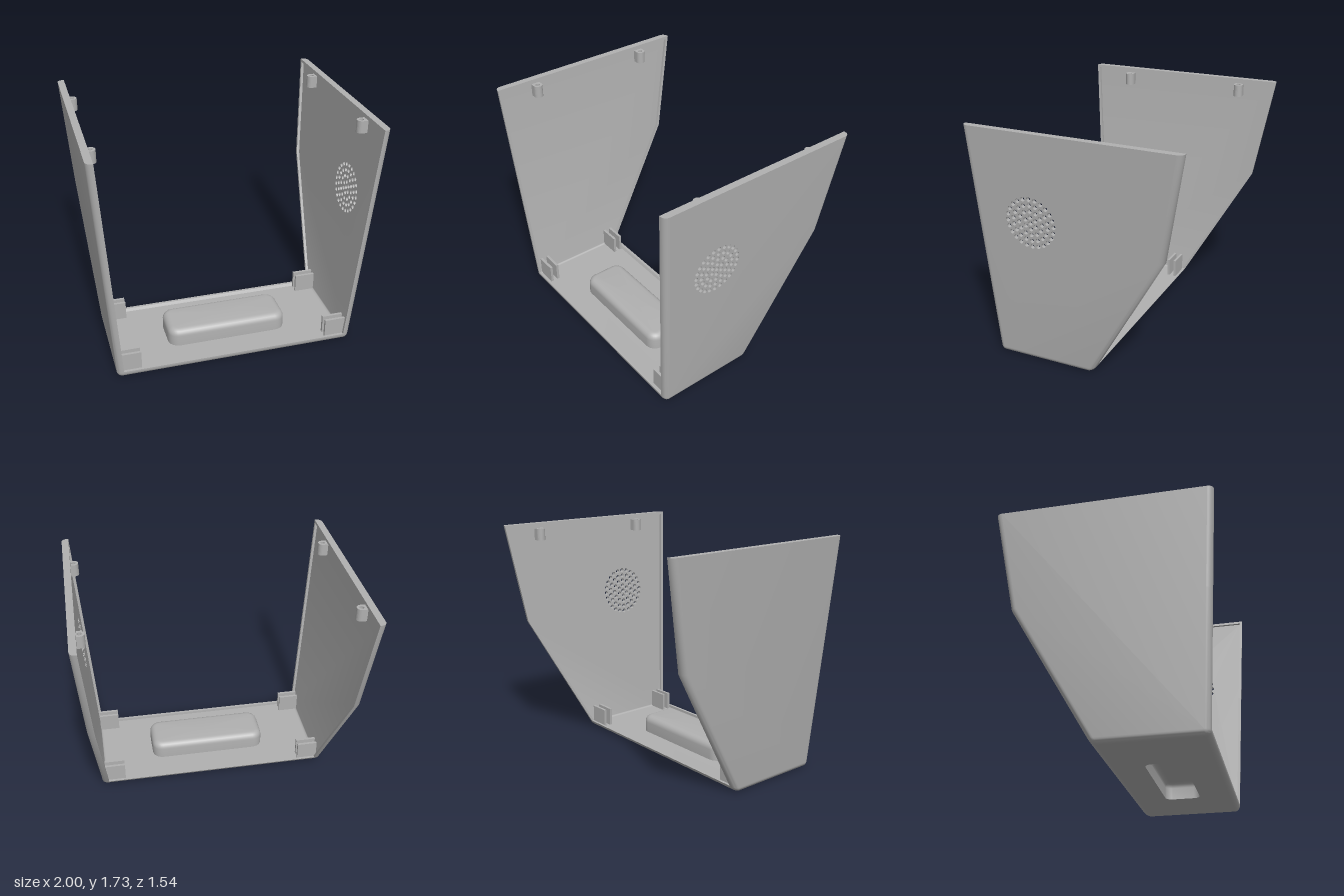
import * as THREE from 'three';
import { mergeGeometries, toCreasedNormals } from 'three/addons/utils/BufferGeometryUtils.js';

const FILLET = 0.04, RIM = 0.02, RECESS = 0.6, TOP = 1.73;

// Outline rules: outer wall x, front edge z and back edge z at a given height
const wallX = y => 0.879 + 0.07 * y;
const frontZ = y => 0.668 + 0.059 * y;
const backZ = y => (y < 0.98 ? -0.077 - 0.569 * y : -0.635 - 0.18 * (y - 0.98));

function fromPositions(list) {
  const g = new THREE.BufferGeometry();
  g.setAttribute('position', new THREE.Float32BufferAttribute(list, 3));
  return g;
}

// Skin a row of closed rings; skip(s, j) leaves a quad open
function loft(rings, skip = () => false) {
  const out = [];
  for (let s = 0; s < rings.length - 1; s++) {
    const n = rings[s].length;
    for (let j = 0; j < n; j++) {
      if (skip(s, j)) continue;
      const k = (j + 1) % n;
      const a = rings[s][j], b = rings[s][k], c = rings[s + 1][j], d = rings[s + 1][k];
      out.push(...a, ...b, ...c, ...b, ...d, ...c);
    }
  }
  return fromPositions(out);
}

// Flat face from a 2D outline with holes, placed in space by a rule
function face(points, holes, map, flip) {
  const shape = new THREE.Shape(points);
  shape.holes = holes.map(h => new THREE.Path(h));
  const g = new THREE.ShapeGeometry(shape).toNonIndexed();
  const p = g.attributes.position, out = [];
  for (let t = 0; t < p.count; t += 3) {
    for (const k of flip ? [0, 2, 1] : [0, 1, 2]) out.push(...map(p.getX(t + k), p.getY(t + k)));
  }
  return fromPositions(out);
}

const v2 = (x, y) => new THREE.Vector2(x, y);

// Rounded rectangle in (x, z), centred on the floor bulge
function roundedRect(hx, hz, r) {
  const pts = [];
  for (let q = 0; q < 4; q++) {
    const sx = q === 0 || q === 3 ? 1 : -1, sz = q < 2 ? 1 : -1;
    for (let i = 0; i <= 6; i++) {
      const a = (q + i / 6) * Math.PI / 2;
      pts.push(v2(sx * (hx - r) + r * Math.cos(a), 0.2925 + sz * (hz - r) + r * Math.sin(a)));
    }
  }
  return pts;
}

// Speaker grille: rings of 1, 6, 12, 18 and 24 round holes, in (z, y)
function grilleHoles() {
  const holes = [];
  for (let ring = 0; ring <= 4; ring++) {
    const n = ring ? ring * 6 : 1;
    for (let i = 0; i < n; i++) {
      const a = Math.PI / 2 + i / n * Math.PI * 2;
      const cz = 0.31 + ring * 0.0432 * Math.cos(a), cy = 1.1 + ring * 0.0432 * Math.sin(a);
      holes.push(Array.from({ length: 12 }, (_, k) => {
        const b = k / 12 * Math.PI * 2;
        return v2(cz + 0.016 * Math.cos(b), cy + 0.016 * Math.sin(b));
      }));
    }
  }
  return holes;
}

function shellGeometry(bulgeOuter, bulgeInner) {
  // Stations down the +x wall and round the corner: outer point, inner point, recessed or not
  const half = [[TOP, 0], [TOP - RIM, 0], [TOP - RIM, 1], [0.98, 1]].map(([y, r]) =>
    ({ o: [wallX(y), y], i: [wallX(y) - 0.05, y], r }));
  const cornerX = wallX(FILLET) - FILLET, innerCorner = [wallX(0.05) - 0.05, 0.05];
  for (let k = 0; k <= 6; k++) {
    const a = k / 6 * Math.PI / 2;
    half.push({ o: [cornerX + FILLET * Math.cos(a), FILLET * (1 - Math.sin(a))], i: innerCorner, r: 1 });
  }
  const n = half.length;
  const flipX = ([x, y]) => [-x, y];
  const stations = [...half, ...half.slice().reverse().map(s => ({ o: flipX(s.o), i: flipX(s.i), r: s.r }))];

  // Edge section: rounded outside, raised rim inside, as [inset, depth]
  const rings = stations.map(({ o, i, r }) => {
    const profile = [];
    for (let k = 0; k <= 6; k++) {
      const a = k / 6 * Math.PI / 2;
      profile.push([FILLET * (1 - Math.sin(a)), 0.8 * (1 - Math.cos(a))]);
    }
    profile.push([0, 1], [RIM, 1], [RIM, r ? RECESS : 1]);
    const point = (inset, d, front) => {
      const y = o[1] + (i[1] - o[1]) * d;
      return [o[0] + (i[0] - o[0]) * d, y, front ? frontZ(y) - inset : backZ(y) + inset];
    };
    return [...profile.map(p => point(...p, true)), ...profile.reverse().map(p => point(...p, false))];
  });
  const count = rings[0].length;
  const parts = [loft(rings, (s, j) => {
    const m = Math.min(s, 2 * n - 2 - s);
    if (j === count - 1) return m < 4 || m === n - 1;
    if (j === count / 2 - 1) return m === 2 || m === 3 || m === n - 1;
    return false;
  })];

  // Top ends of both walls
  const caps = [], first = rings[0], last = rings[rings.length - 1];
  for (let j = 1; j < count - 1; j++) {
    caps.push(...first[0], ...first[j + 1], ...first[j], ...last[0], ...last[j], ...last[j + 1]);
  }
  parts.push(fromPositions(caps));

  // Wall faces, with the grille through the +x wall
  const outline = (low, high, inset) => [
    ...[low, high].map(y => v2(frontZ(y) - inset, y)),
    ...[high, 0.98, low].map(y => v2(backZ(y) + inset, y))];
  const holes = grilleHoles();
  const lowInner = FILLET + (0.05 - FILLET) * RECESS;
  for (const side of [1, -1]) {
    const cut = side > 0 ? holes : [];
    parts.push(face(outline(FILLET, TOP, FILLET), cut, (z, y) => [side * wallX(y), y, z], side > 0));
    parts.push(face(outline(lowInner, TOP - RIM, RIM), cut, (z, y) => [side * (wallX(y) - 0.03), y, z], side < 0));
  }
  for (const h of holes) {
    parts.push(loft([0.03, 0].map(d => h.map(p => [wallX(p.y) - d, p.y, p.x]))));
  }

  // Floor faces, open where the bulge rises
  const floor = (x, y, inset, hole, flip) => {
    const f = frontZ(y) - inset, b = backZ(y) + inset;
    return face([v2(-x, b), v2(x, b), v2(x, f), v2(-x, f)], [hole], (u, w) => [u, y, w], flip);
  };
  parts.push(floor(cornerX, 0, FILLET, bulgeInner, false));
  parts.push(floor(cornerX + (innerCorner[0] - cornerX) * RECESS, 0.03, RIM, bulgeOuter, true));
  return toCreasedNormals(mergeGeometries(parts), 0.6);
}

// Hollow raised bulge: cavity from below, rounded cover above
function bulgeGeometry() {
  const layers = (hx, hz, r, base, top, round) => {
    const ring = (d, y) => roundedRect(hx - d, hz - d, r - d).map(p => [p.x, y, p.y]);
    const rings = [ring(0, base)];
    for (let k = 0; k <= 6; k++) {
      const a = k / 6 * Math.PI / 2;
      rings.push(ring(round * (1 - Math.cos(a)), top - round * (1 - Math.sin(a))));
    }
    rings.push(rings[0].map(() => [0, top, 0.2925]));
    return rings;
  };
  const inner = layers(0.415, 0.128, 0.05, 0, 0.125, 0.04);
  const outer = layers(0.45, 0.163, 0.08, 0.03, 0.16, 0.05).reverse();
  return toCreasedNormals(mergeGeometries([loft(inner), loft(outer)]), 0.6);
}

// Screw post: D-shaped, bored, its flat side against the wall
function postGeometry() {
  const s = new THREE.Shape();
  s.moveTo(0.035, -0.034);
  s.lineTo(0.035, 0.034);
  s.lineTo(0, 0.034);
  s.absarc(0, 0, 0.034, Math.PI / 2, Math.PI * 1.5, false);
  s.lineTo(0.035, -0.034);
  s.holes.push(new THREE.Path().absarc(0, 0, 0.016, 0, Math.PI * 2, true));
  const g = new THREE.ExtrudeGeometry(s, { depth: 0.09, bevelEnabled: false, curveSegments: 12 });
  return g.rotateX(-Math.PI / 2);
}

export function createModel() {
  const model = new THREE.Group();
  model.name = 'enclosureShell';
  const grey = new THREE.MeshStandardMaterial({ color: 0xb0b0b0 });
  grey.name = 'grey plastic';
  const add = (geometry, name, x = 0, y = 0, z = 0) => {
    const mesh = new THREE.Mesh(geometry, grey);
    mesh.name = name;
    mesh.position.set(x, y, z);
    model.add(mesh);
    return mesh;
  };

  add(shellGeometry(roundedRect(0.45, 0.163, 0.08), roundedRect(0.415, 0.128, 0.05)), 'shell');
  add(bulgeGeometry(), 'floorBulge');

  const post = postGeometry();
  const tab = new THREE.BoxGeometry(0.155, 0.145, 0.02);
  for (const side of [1, -1]) {
    const label = side > 0 ? 'left' : 'right';
    for (const z of [-0.475, 0.46]) {
      add(post, label + 'ScrewPost', side * 0.928, 1.6, z).rotation.y = side > 0 ? 0 : Math.PI;
    }
    // Paired tabs that grip the front and back panels
    for (const z of [-0.06, -0.005, 0.57, 0.625]) {
      add(tab, label + 'PanelTab', side * 0.7755, 0.0975, z);
    }
  }
  return model;
}
